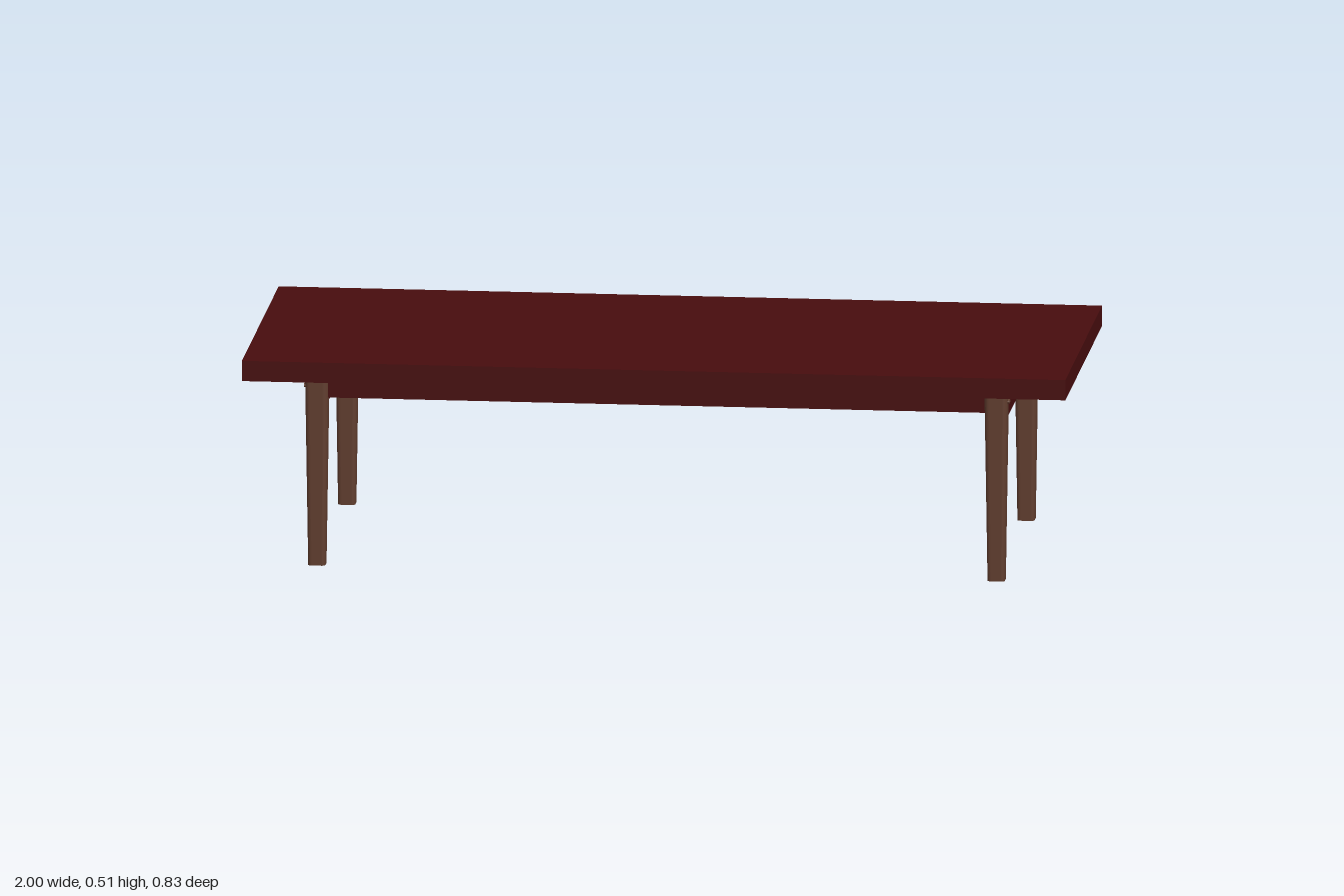
import * as THREE from 'three';

export function createModel() {
  const table = new THREE.Group();
  table.name = 'lowTable';
  const red = new THREE.MeshStandardMaterial({ name: 'dark red wood', color: 0x470d0e });
  const brown = new THREE.MeshStandardMaterial({ name: 'brown wood', color: 0x613e2f });

  const LEG_X = 0.825, LEG_Z = 0.338, LEG_H = 0.465;

  function add(name, geometry, material, x, y, z, parent = table) {
    const mesh = new THREE.Mesh(geometry, material);
    mesh.name = name;
    mesh.position.set(x, y, z);
    parent.add(mesh);
    return mesh;
  }

  // Table top: red slab with an unpainted brown underside
  add('tableTop', new THREE.BoxGeometry(2, 0.05, 0.83),
    [red, red, red, brown, red, red], 0, 0.49, 0);

  // Leg: square section with rounded corners, tapering to the foot
  const h = 0.028, r = 0.012;
  const section = new THREE.Shape();
  section.moveTo(h, -h + r);
  section.absarc(h - r, h - r, r, 0, Math.PI / 2);
  section.absarc(-h + r, h - r, r, Math.PI / 2, Math.PI);
  section.absarc(-h + r, -h + r, r, Math.PI, Math.PI * 1.5);
  section.absarc(h - r, -h + r, r, Math.PI * 1.5, Math.PI * 2);
  const legGeometry = new THREE.ExtrudeGeometry(section, {
    depth: LEG_H, bevelEnabled: false, curveSegments: 4,
  }).rotateX(-Math.PI / 2);
  const p = legGeometry.attributes.position;
  for (let i = 0; i < p.count; i++) {
    const s = 0.75 + 0.25 * p.getY(i) / LEG_H;
    p.setX(i, p.getX(i) * s);
    p.setZ(i, p.getZ(i) * s);
  }
  legGeometry.computeVertexNormals();

  // Oval peg end showing on the outer face of each leg
  const pegGeometry = new THREE.CylinderGeometry(0.01, 0.01, 0.012, 16)
    .rotateZ(Math.PI / 2).scale(1, 0.5, 1);

  for (const sx of [-1, 1]) {
    for (const sz of [-1, 1]) {
      const leg = new THREE.Group();
      leg.name = `${sz > 0 ? 'front' : 'back'}${sx > 0 ? 'Left' : 'Right'}Leg`;
      leg.position.set(sx * LEG_X, 0, sz * LEG_Z);
      table.add(leg);
      add('legPost', legGeometry, brown, 0, 0, 0, leg);
      add('peg', pegGeometry, brown, sx * 0.026, 0.442, 0, leg);
    }
  }

  // Long rails sit directly under the top, end rails a little lower
  const longRail = new THREE.BoxGeometry(2 * LEG_X, 0.05, 0.026);
  const endRail = new THREE.BoxGeometry(0.026, 0.05, 2 * LEG_Z);
  for (const s of [-1, 1]) {
    add(s > 0 ? 'frontRail' : 'backRail', longRail, red, 0, 0.44, s * LEG_Z);
    add(s > 0 ? 'leftRail' : 'rightRail', endRail, red, s * LEG_X, 0.4, 0);
  }
  return table;
}
